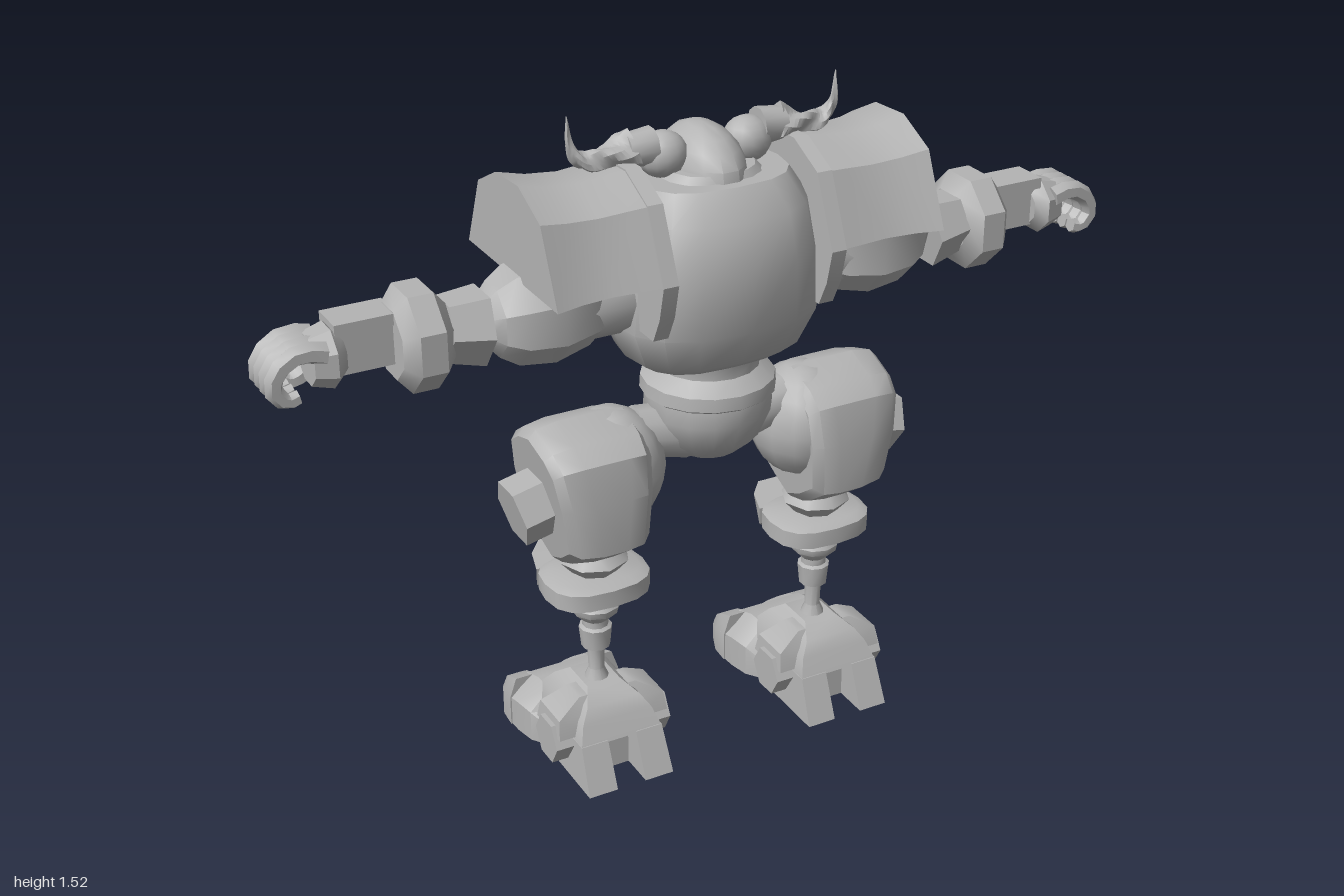
import * as THREE from 'three';
import { toCreasedNormals } from 'three/addons/utils/BufferGeometryUtils.js';

const CZ = 0.065; // depth of the main body axis

// Closed solid through a list of rings of [x, y, z] points
function loft(rings) {
  const n = rings[0].length, pos = rings.flat(2), idx = [];
  for (let r = 0; r < rings.length - 1; r++) {
    for (let i = 0; i < n; i++) {
      const a = r * n + i, b = r * n + (i + 1) % n;
      idx.push(a, b, a + n, b, b + n, a + n);
    }
  }
  const cap = (ring, start, flip) => {
    const c = pos.length / 3;
    for (let k = 0; k < 3; k++) pos.push(ring.reduce((s, p) => s + p[k], 0) / n);
    for (let i = 0; i < n; i++) {
      const a = start + i, b = start + (i + 1) % n;
      flip ? idx.push(a, b, c) : idx.push(b, a, c);
    }
  };
  cap(rings[0], 0, false);
  cap(rings[rings.length - 1], (rings.length - 1) * n, true);
  const g = new THREE.BufferGeometry();
  g.setAttribute('position', new THREE.Float32BufferAttribute(pos, 3));
  g.setIndex(idx);
  return g;
}

// Rounded-square ring lying flat at height y
function flatRing(y, hx, hz, cz = CZ, n = 16, e = 0.75) {
  const f = (v) => Math.sign(v) * Math.abs(v) ** e;
  return Array.from({ length: n }, (_, i) => {
    const a = (i / n) * Math.PI * 2;
    return [hx * f(Math.cos(a)), y, cz + hz * f(Math.sin(a))];
  });
}

const rectY = (y, x0, x1, z0, z1) => [[x0, y, z0], [x1, y, z0], [x1, y, z1], [x0, y, z1]];
// Upright ring at depth z with bevelled top corners
const rectZ = (z, x0, x1, h) => {
  const b = (x1 - x0) * 0.2;
  return [[x0, 0, z], [x1, 0, z], [x1, h * 0.6, z], [x1 - b, h, z], [x0 + b, h, z], [x0, h * 0.6, z]];
};
// Ring across x from a [z, y] outline scaled about a centre
const ringX = (x, outline, s, cy, lean = 0) =>
  outline.map(([z, y]) => [x + lean * (y - cy) * s, cy + (y - cy) * s, CZ + (z - CZ) * s]);

// Tapered sweep along a path in the xy plane, optionally ribbed by a twist
function sweep(points, z, r0, r1, twist = 0, steps = 8, n = 6) {
  const curve = new THREE.CatmullRomCurve3(points.map(([x, y]) => new THREE.Vector3(x, y, z)));
  const rings = [];
  for (let s = 0; s <= steps; s++) {
    const t = s / steps, p = curve.getPoint(t), d = curve.getTangent(t), r = r0 + (r1 - r0) * t;
    rings.push(Array.from({ length: n }, (_, i) => {
      const a = (i / n) * Math.PI * 2;
      const q = r * (twist ? 1 + 0.25 * Math.cos(3 * a + twist * t) : 1);
      return [p.x - d.y * q * Math.cos(a), p.y + d.x * q * Math.cos(a), p.z + q * Math.sin(a)];
    }));
  }
  return loft(rings);
}

const box = (w, h, d, x, y, z) => new THREE.BoxGeometry(w, h, d).translate(x, y, z);
const ball = (rx, ry, rz, x, y, z) => new THREE.SphereGeometry(1, 14, 10).scale(rx, ry, rz).translate(x, y, z);
const lathe = (pts, x, z, n = 12) =>
  new THREE.LatheGeometry(pts.map(([r, y]) => new THREE.Vector2(r, y)), n).translate(x, 0, z);
// Drum lying along x
const drum = (r0, r1, len, n, x, y, z, tilt = 0) =>
  new THREE.CylinderGeometry(r1, r0, len, n).rotateZ(-Math.PI / 2 - tilt).translate(x, y, z);

// Plain triangles facing outwards, with creased normals
function finish(geo, flipX) {
  const g = geo.index ? geo.toNonIndexed() : geo.clone();
  for (const k of ['uv', 'normal']) g.deleteAttribute(k);
  g.clearGroups();
  if (flipX) g.scale(-1, 1, 1);
  const p = g.attributes.position, v = [0, 1, 2].map(() => new THREE.Vector3());
  let volume = 0;
  for (let i = 0; i < p.count; i += 3) {
    v.forEach((q, k) => q.fromBufferAttribute(p, i + k));
    volume += v[0].dot(v[1].clone().cross(v[2]));
  }
  if (volume < 0) {
    for (let i = 0; i < p.count; i += 3) {
      v.forEach((q, k) => q.fromBufferAttribute(p, i + k));
      p.setXYZ(i + 1, v[2].x, v[2].y, v[2].z);
      p.setXYZ(i + 2, v[1].x, v[1].y, v[1].z);
    }
  }
  return toCreasedNormals(g, 0.65);
}

export function createModel() {
  const model = new THREE.Group();
  model.name = 'hornedRobot';
  const steel = new THREE.MeshStandardMaterial({ color: 0xb4b4b4 });
  steel.name = 'steel grey';
  const add = (name, geo) => {
    const m = new THREE.Mesh(finish(geo, false), steel);
    m.name = name;
    model.add(m);
  };
  const pair = (name, geo) => [['left', false], ['right', true]].forEach(([side, flip]) => {
    const m = new THREE.Mesh(finish(geo, flip), steel);
    m.name = side + name;
    model.add(m);
  });

  // Torso, waist and pelvis
  add('torso', loft([
    flatRing(0.95, 0.165, 0.115), flatRing(0.975, 0.2, 0.15), flatRing(1.06, 0.235, 0.195, 0.06),
    flatRing(1.2, 0.225, 0.2, 0.06), flatRing(1.3, 0.205, 0.18, 0.06), flatRing(1.36, 0.17, 0.13, 0.06)]));
  add('waist', lathe([[0, 1], [0.13, 1], [0.118, 0.95], [0.112, 0.91], [0.12, 0.88], [0, 0.88]], 0, CZ, 16));
  add('belt', lathe([[0, 0.925], [0.11, 0.925], [0.148, 0.895], [0.15, 0.865], [0.1, 0.83], [0, 0.83]], 0, CZ, 16));
  add('pelvis', lathe([[0, 0.87], [0.14, 0.86], [0.142, 0.82], [0.115, 0.755], [0.07, 0.715], [0, 0.7]], 0, CZ, 16));

  // Back plates and spine
  add('spine', loft([rectY(1.08, -0.04, 0.04, -0.155, -0.05), rectY(1.25, -0.04, 0.04, -0.15, -0.05),
    rectY(1.38, -0.035, 0.035, -0.13, -0.02)]));
  pair('BackPlate', loft([rectY(1.12, 0.055, 0.13, -0.15, 0), rectY(1.3, 0.055, 0.13, -0.13, 0),
    rectY(1.37, 0.055, 0.1, -0.1, 0)]));

  // Head and horns
  add('collar', loft([flatRing(1.34, 0.135, 0.13, 0.04), flatRing(1.375, 0.1, 0.11, 0.04)]));
  add('head', ball(0.085, 0.105, 0.135, 0, 1.35, 0.035));
  pair('HornSocket', ball(0.055, 0.05, 0.05, 0.1, 1.405, 0.05));
  pair('HornBase', drum(0.042, 0.035, 0.06, 10, 0.155, 1.427, 0.05));
  pair('Horn', sweep([[0.17, 1.43], [0.225, 1.418], [0.28, 1.42], [0.308, 1.45], [0.315, 1.52]], 0.05, 0.036, 0.001, 14, 24, 12));

  // Shoulder guards: barrel cap with a hanging inner flange
  const cap = [[0.28, 1.21], [0.21, 1.37], [0.11, 1.418], [0, 1.412], [-0.09, 1.365], [-0.155, 1.21]];
  pair('ShoulderGuard', loft([[0.19, 0.95], [0.25, 0.93], [0.32, 0.9], [0.39, 0.93], [0.452, 1]]
    .map(([x, s]) => ringX(x, cap, s, 1.21))));
  const flange = [...cap, [-0.145, 1.13], [-0.1, 1.07], [0.23, 1.07], [0.26, 1.13]];
  pair('ShoulderFlange', loft([ringX(0.18, flange, 0.96, 1.21), ringX(0.215, flange, 0.96, 1.21)]));

  // Arms
  pair('ShoulderJoint', drum(0.09, 0.09, 0.14, 10, 0.24, 1.13, CZ));
  const oct = Array.from({ length: 8 }, (_, i) => {
    const a = (i + 0.5) * Math.PI / 4;
    return [CZ + Math.cos(a), 1.125 + Math.sin(a)];
  });
  const armRing = ([x, s]) => ringX(x, oct, s, 1.125);
  pair('UpperArm', loft([[0.25, 0.06], [0.3, 0.095], [0.38, 0.115], [0.46, 0.105], [0.5, 0.08], [0.525, 0.05]].map(armRing)));
  pair('Elbow', drum(0.085, 0.07, 0.085, 6, 0.575, 1.13, 0.08, -0.1));
  pair('ElbowPin', drum(0.045, 0.045, 0.12, 8, 0.54, 1.13, CZ));
  pair('Forearm', loft([[0.61, 0.075], [0.64, 0.113], [0.695, 0.113], [0.722, 0.08]].map(armRing)));
  pair('Wrist', box(0.14, 0.1, 0.07, 0.77, 1.135, 0.055));
  pair('WristPlate', box(0.13, 0.025, 0.085, 0.78, 1.185, 0.055));
  pair('Palm', loft([ringX(0.825, oct, 0.045, 1.125), ringX(0.85, oct, 0.068, 1.125), ringX(0.895, oct, 0.055, 1.125)]));
  for (let i = 0; i < 4; i++) {
    pair('Finger' + (i + 1), sweep([[0.87, 1.15], [0.92, 1.16], [0.965, 1.135], [0.98, 1.095], [0.955, 1.065], [0.93, 1.07]],
      0.012 + i * 0.032, 0.024, 0.016));
  }
  pair('Thumb', sweep([[0.86, 1.11], [0.88, 1.075], [0.915, 1.06], [0.94, 1.075]], 0.01, 0.024, 0.014));

  // Hips and thighs
  pair('HipJoint', drum(0.065, 0.055, 0.14, 10, 0.12, 0.78, CZ, -0.2));
  const thigh = [[0.07, 0.862], [0.15, 0.835], [0.19, 0.8], [0.207, 0.71], [0.2, 0.585], [0.13, 0.535],
    [0.065, 0.505], [0, 0.535], [-0.07, 0.575], [-0.08, 0.71], [-0.06, 0.8], [0, 0.84]];
  pair('ThighBall', ball(0.12, 0.135, 0.125, 0.24, 0.725, CZ));
  pair('Thigh', loft([[0.2, 0.84], [0.22, 0.97], [0.26, 1], [0.34, 1], [0.39, 0.95], [0.41, 0.84]]
    .map(([x, s]) => ringX(x, thigh, s, 0.69, x > 0.3 ? 0.16 : -0.06))));
  pair('ThighBolt', drum(0.075, 0.075, 0.09, 6, 0.43, 0.675, CZ, 0.22));

  // Knees and shins
  const LX = 0.285;
  pair('KneeJoint', lathe([[0, 0.55], [0.05, 0.55], [0.08, 0.51], [0.045, 0.47], [0, 0.47]], LX, CZ, 8));
  pair('KneePlate', loft([flatRing(0.405, 0.075, 0.06), flatRing(0.43, 0.12, 0.1), flatRing(0.47, 0.12, 0.1),
    flatRing(0.48, 0.1, 0.08)]).translate(LX, 0, 0));
  pair('KneeGuard', loft([[[-0.11, 0.43, 0], [0.11, 0.43, 0], [0.11, 0.47, 0], [-0.11, 0.47, 0]],
    [[-0.08, 0.4, -0.035], [0.08, 0.4, -0.035], [0.1, 0.485, -0.045], [-0.1, 0.485, -0.045]],
    [[-0.05, 0.43, -0.075], [0.05, 0.43, -0.075], [0.065, 0.49, -0.085], [-0.065, 0.49, -0.085]]]).translate(LX, 0, 0));
  pair('Shin', lathe([[0, 0.42], [0.035, 0.42], [0.058, 0.39], [0.055, 0.375], [0.03, 0.35], [0.03, 0.335], [0.038, 0.33],
    [0.033, 0.28], [0.02, 0.275], [0.018, 0.22], [0.035, 0.18], [0, 0.18]], LX, CZ, 10));

  // Feet: forked front toes, ankle bolts and two long rear claws
  pair('FootBody', loft([rectY(0, -0.105, 0.105, 0, 0.15), rectY(0.1, -0.1, 0.1, 0, 0.15),
    rectY(0.101, -0.1, 0.1, -0.02, 0.19), rectY(0.145, -0.085, 0.085, -0.045, 0.168),
    rectY(0.175, -0.065, 0.065, -0.02, 0.15), rectY(0.197, -0.04, 0.04, 0.01, 0.1)]).translate(LX, 0, 0));
  for (const s of [-1, 1]) {
    const tag = s > 0 ? 'Outer' : 'Inner';
    pair(tag + 'FrontToe', loft([rectY(0, 0.035 * s, 0.105 * s, 0.1, 0.235), rectY(0.105, 0.035 * s, 0.1 * s, 0.1, 0.19)])
      .translate(LX, 0, 0));
    pair(tag + 'AnkleBolt', drum(0.056, 0.056, 0.05, 6, LX + 0.118 * s, 0.088, 0.095));
    pair(tag + 'AnkleGuard', loft([rectY(0.11, 0.07 * s, 0.135 * s, 0.03, 0.15), rectY(0.155, 0.07 * s, 0.13 * s, 0.04, 0.14),
      rectY(0.19, 0.05 * s, 0.07 * s, 0.06, 0.12)]).translate(LX, 0, 0));
    pair(tag + 'RearClaw', loft([[-0.11, 0.14, 0.12], [-0.16, 0.136, 0.1], [-0.21, 0.115, 0.065], [-0.25, 0.09, 0.033], [-0.28, 0.07, 0.004]]
      .map(([z, x, h]) => rectZ(z, Math.min(0.058 * s, x * s), Math.max(0.058 * s, x * s), h))).translate(LX, 0, 0));
  }
  pair('Heel', loft([[0.005, 0.1, 0.085], [-0.03, 0.125, 0.125], [-0.08, 0.135, 0.13], [-0.135, 0.138, 0.112]]
    .map(([z, x, h]) => rectZ(z, -x, x, h))).translate(LX, 0, 0));
  return model;
}
